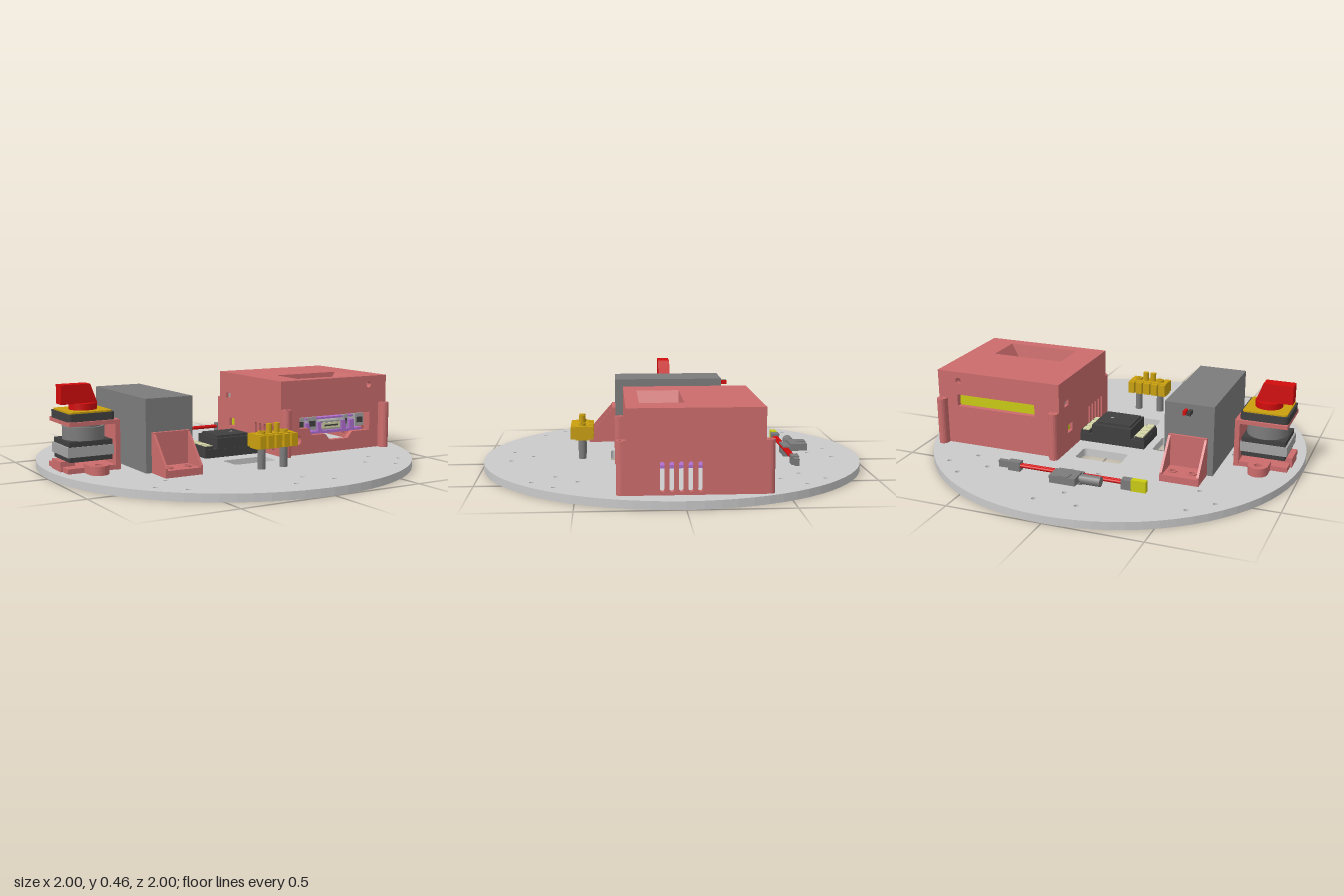
import * as THREE from 'three';

const M = {};
for (const [name, color] of Object.entries({
  plateGray: 0xcacaca, bracketPink: 0xcc6c6c, midGray: 0x7c7c7c, charcoal: 0x404040, gold: 0xcaa00e,
  signalRed: 0xd20c0c, beige: 0xd6d6a8, boardPurple: 0xb070d0, plugYellow: 0xcaca14, silver: 0xa4a4a4,
})) {
  M[name] = new THREE.MeshStandardMaterial({ color });
  M[name].name = name;
}

export function createModel() {
  const root = new THREE.Group();
  root.name = 'equipmentPlate';
  let parent = root;
  const group = (name) => { parent = new THREE.Group(); parent.name = name; root.add(parent); return parent; };
  const add = (name, mat, geo) => {
    const m = new THREE.Mesh(geo, mat);
    m.name = name;
    parent.add(m);
    return m;
  };
  const box = (name, mat, x0, x1, y0, y1, z0, z1) => add(name, mat,
    new THREE.BoxGeometry(x1 - x0, y1 - y0, z1 - z0).translate((x0 + x1) / 2, (y0 + y1) / 2, (z0 + z1) / 2));
  const cyl = (name, mat, x, y0, y1, z, r, n = 24, r2 = r) => add(name, mat,
    new THREE.CylinderGeometry(r2, r, y1 - y0, n).translate(x, (y0 + y1) / 2, z));
  const cylX = (name, mat, x0, x1, y, z, r, n = 12) => add(name, mat,
    new THREE.CylinderGeometry(r, r, x1 - x0, n).rotateZ(Math.PI / 2).translate((x0 + x1) / 2, y, z));
  const poly = (pts) => new THREE.Shape(pts.map((p) => new THREE.Vector2(...p)));
  const rect = (a, b, c, d) => poly([[a, c], [b, c], [b, d], [a, d]]);
  const disc = (x, y, r) => new THREE.Shape().absarc(x, y, r, 0, Math.PI * 2);
  const roundRect = (a, b, c, d, r) => new THREE.Shape()
    .absarc(b - r, d - r, r, 0, Math.PI / 2).absarc(a + r, d - r, r, Math.PI / 2, Math.PI)
    .absarc(a + r, c + r, r, Math.PI, Math.PI * 1.5).absarc(b - r, c + r, r, Math.PI * 1.5, Math.PI * 2);
  const ext = (shape, holes, depth, seg = 8) => {
    shape.holes.push(...holes);
    return new THREE.ExtrudeGeometry(shape, { depth, bevelEnabled: false, curveSegments: seg });
  };
  // slabs: flat uses (x, z), facing uses (x, y), side uses (z, y)
  const flat = (name, mat, shape, holes, y0, y1, seg) => add(name, mat, ext(shape, holes, y1 - y0, seg).rotateX(Math.PI / 2).translate(0, y1, 0));
  const facing = (name, mat, shape, holes, z0, z1) => add(name, mat, ext(shape, holes, z1 - z0).translate(0, 0, z0));
  const side = (name, mat, shape, holes, x0, x1) => add(name, mat, ext(shape, holes, x1 - x0).rotateY(-Math.PI / 2).translate(x1, 0, 0));

  // round base plate with slots and screw holes
  group('basePlate');
  const holes = [[-0.64, 0], [-0.07, -0.48], [0.07, -0.48], [0.3, 0.26]];
  for (const s of [-1, 1]) {
    holes.push([0, 0.74 * s], [0.49, 0.6 * s]);
    for (const t of [-1, 1]) holes.push([0.11 * t, 0.85 * s], [0.6 * t, 0.71 * s], [0.71 * t, 0.6 * s], [0.6 * t, 0.49 * s], [-0.48 + 0.05 * t, 0.39 * s]);
  }
  flat('plate', M.plateGray, disc(0, 0, 1), [
    roundRect(-0.125, 0.125, -0.33, -0.2, 0.02), roundRect(-0.125, 0.125, 0.2, 0.33, 0.02),
    roundRect(-0.315, -0.215, -0.09, 0.09, 0.015), ...holes.map(([x, z]) => disc(x, z, 0.012)),
  ], 0, 0.04, 40);

  // hollow electronics housing
  group('electronicsHousing');
  const P = M.bracketPink;
  const vents = (z0) => [0, 1, 2, 3, 4].map((i) => roundRect(z0 + i * 0.0435, z0 + 0.022 + i * 0.0435, 0.055, 0.195, 0.01));
  facing('frontWall', P, rect(0.19, 0.89, 0.04, 0.44), [
    poly([[0.31, 0.24], [0.31, 0.18], [0.37, 0.18], [0.39, 0.14], [0.48, 0.14], [0.51, 0.105], [0.63, 0.105],
      [0.66, 0.14], [0.78, 0.14], [0.78, 0.24]]),
    disc(0.295, 0.12, 0.028), disc(0.77, 0.392, 0.016)], 0.235, 0.265);
  facing('backWall', P, rect(0.19, 0.89, 0.04, 0.44), [rect(0.33, 0.78, 0.25, 0.315), disc(0.77, 0.392, 0.016)], -0.37, -0.34);
  side('rightWall', P, rect(-0.34, 0.235, 0.04, 0.44),
    [rect(-0.3, -0.25, 0.295, 0.325), rect(-0.265, -0.205, 0.14, 0.185), ...vents(0.01)], 0.19, 0.22);
  side('leftWall', P, rect(-0.34, 0.235, 0.04, 0.44), vents(-0.083), 0.86, 0.89);
  flat('lid', P, rect(0.22, 0.86, -0.34, 0.235), [rect(0.34, 0.74, -0.01, 0.2)], 0.425, 0.44);
  for (const x of [0.215, 0.865]) for (const s of [-1, 1]) {
    const zw = s > 0 ? 0.265 : -0.37, zc = zw + 0.02 * s;
    box('postWeb', P, x - 0.025, x + 0.025, 0.04, 0.29, Math.min(zw, zc), Math.max(zw, zc));
    flat('screwPost', P, disc(x, zc, 0.025), [disc(x, zc, 0.012)], 0.04, 0.291);
  }
  box('plugBacking', P, 0.25, 0.335, 0.08, 0.16, 0.2, 0.235);

  // sloping fan recess in the lid
  const top = [[0.34, -0.01], [0.74, -0.01], [0.74, 0.2], [0.34, 0.2]];
  const low = [[0.39, -0.008], [0.69, -0.008], [0.69, 0.19], [0.39, 0.19]];
  const v = [];
  for (let i = 0; i < 4; i++) {
    const j = (i + 1) % 4;
    const T = (k) => [top[k][0], 0.44, top[k][1]], B = (k) => [low[k][0], 0.355, low[k][1]];
    v.push(...T(i), ...B(j), ...T(j), ...T(i), ...B(i), ...B(j));
  }
  const funnel = new THREE.BufferGeometry();
  funnel.setAttribute('position', new THREE.Float32BufferAttribute(v, 3));
  funnel.computeVertexNormals();
  add('fanRecess', P, funnel);

  // cooling fan
  group('coolingFan');
  flat('fanFrame', M.charcoal, rect(0.38, 0.7, -0.015, 0.2), [disc(0.54, 0.092, 0.095)], 0.305, 0.355, 20);
  box('fanBase', M.charcoal, 0.38, 0.7, 0.29, 0.305, -0.015, 0.2);
  cyl('fanHub', M.charcoal, 0.54, 0.305, 0.352, 0.092, 0.05, 28);
  for (let i = 0; i < 11; i++) {
    add('fanBlade', M.charcoal, new THREE.BoxGeometry(0.05, 0.035, 0.006).rotateX(0.7).translate(0.07, 0, 0)
      .rotateY(i * Math.PI * 2 / 11).translate(0.54, 0.33, 0.092));
  }

  // circuit boards and connectors inside the housing
  group('circuitBoards');
  box('mainBoard', M.boardPurple, 0.34, 0.76, 0.135, 0.15, -0.25, 0.22);
  box('upperBoard', M.boardPurple, 0.38, 0.7, 0.215, 0.225, -0.2, 0.222);
  box('boardEdge', M.plugYellow, 0.31, 0.8, 0.24, 0.32, -0.338, -0.33);
  box('displayPort', M.silver, 0.47, 0.61, 0.155, 0.205, 0.12, 0.228);
  box('portFace', M.beige, 0.48, 0.6, 0.165, 0.195, 0.228, 0.234);
  box('portSlot', M.charcoal, 0.495, 0.585, 0.176, 0.184, 0.234, 0.238);
  for (const [a, b] of [[0.32, 0.37], [0.39, 0.45], [0.63, 0.66], [0.71, 0.77]]) {
    box('sidePort', M.silver, a, b, 0.16, 0.23, 0.12, 0.225);
    box('sidePortSlot', M.charcoal, a + 0.01, b - 0.01, 0.18, 0.21, 0.225, 0.23);
  }
  for (const x of [0.375, 0.455, 0.615, 0.67]) box('boardSpacer', M.boardPurple, x, x + 0.03, 0.15, 0.2, 0.15, 0.23);
  box('upperSidePort', M.silver, 0.205, 0.25, 0.298, 0.322, -0.297, -0.253);
  box('lowerSidePort', M.plugYellow, 0.205, 0.25, 0.143, 0.182, -0.262, -0.208);

  // battery with mirrored end brackets
  group('battery');
  box('batteryBlock', M.midGray, -0.61, -0.355, 0.04, 0.405, -0.305, 0.3);
  box('redLead', M.signalRed, -0.475, -0.46, 0.36, 0.38, -0.35, -0.305);
  box('blackLead', M.charcoal, -0.5, -0.482, 0.36, 0.38, -0.35, -0.305);
  for (const s of [-1, 1]) {
    group('batteryBracket');
    const zs = (a, b) => (s > 0 ? [a, b] : [-b, -a]);
    flat('bracketFoot', P, rect(-0.58, -0.38, ...zs(0.3, 0.45)), [-0.53, -0.43].map((x) => disc(x, 0.39 * s, 0.014)), 0.04, 0.075);
    box('bracketWall', P, -0.58, -0.38, 0.04, 0.24, ...zs(0.3, 0.32));
    for (const x of [-0.58, -0.392]) side('bracketGusset', P, poly([[0.3 * s, 0.04], [0.45 * s, 0.04], [0.45 * s, 0.085], [0.315 * s, 0.24], [0.3 * s, 0.24]]), [], x, x + 0.012);
    for (const x of [-0.53, -0.43]) {
      const hex = poly([0, 1, 2, 3, 4, 5].map((i) => [x + 0.025 * Math.cos(i * Math.PI / 3), 0.39 * s + 0.025 * Math.sin(i * Math.PI / 3)]));
      flat('nutSeat', P, hex, [disc(x, 0.39 * s, 0.015)], 0.075, 0.081);
    }
  }

  // main rotary switch on its bracket
  group('rotarySwitch');
  const sx = -0.81;
  flat('switchFoot', P, rect(-0.945, -0.67, -0.13, 0.13), [], 0.04, 0.065);
  for (const s of [-1, 1]) {
    const tab = new THREE.Shape().moveTo(sx - 0.05, 0.12 * s).lineTo(sx - 0.05, 0.19 * s)
      .absarc(sx, 0.19 * s, 0.05, Math.PI, 0, s > 0).lineTo(sx + 0.05, 0.12 * s);
    flat('mountingTab', P, tab, [disc(sx, 0.19 * s, 0.02)], 0.04, 0.085);
  }
  box('footLip', P, -0.955, -0.88, 0.04, 0.09, -0.06, 0.06);
  box('switchUpright', P, -0.695, -0.67, 0.04, 0.29, -0.135, 0.135);
  box('switchShelf', P, -0.935, -0.67, 0.27, 0.29, -0.135, 0.135);
  box('lowerSeal', M.charcoal, -0.925, -0.7, 0.09, 0.115, -0.105, 0.105);
  box('contactBlock', M.silver, -0.935, -0.695, 0.115, 0.165, -0.11, 0.11);
  box('upperSeal', M.charcoal, -0.925, -0.7, 0.165, 0.19, -0.105, 0.105);
  cyl('switchBody', M.midGray, sx, 0.19, 0.255, 0, 0.105, 28);
  cyl('switchNeck', M.midGray, sx, 0.255, 0.27, 0, 0.09, 28);
  flat('switchFrame', M.charcoal, roundRect(-0.935, -0.69, -0.122, 0.122, 0.02), [], 0.29, 0.328);
  flat('facePlate', M.gold, roundRect(-0.925, -0.7, -0.112, 0.112, 0.015), [], 0.328, 0.336);
  cyl('knobBase', M.signalRed, sx, 0.336, 0.368, 0, 0.07, 28);
  facing('knobLever', M.signalRed, poly([[-0.935, 0.366], [-0.745, 0.366], [-0.782, 0.462], [-0.935, 0.462]]), [], -0.034, 0.034);

  // relay module with terminal rows
  group('relayModule');
  box('relayBase', M.charcoal, -0.175, 0.19, 0.04, 0.085, -0.105, 0.108);
  box('relayBody', M.charcoal, -0.1, 0.12, 0.085, 0.14, -0.105, 0.105);
  box('relayCap', M.charcoal, -0.09, 0.1, 0.14, 0.152, -0.08, 0.085);
  for (const x of [-0.172, 0.137]) {
    box('terminalHousing', M.charcoal, x, x + 0.05, 0.085, 0.1, -0.1, 0.1);
    for (let i = 0; i < 4; i++) box('terminal', M.beige, x + 0.006, x + 0.042, 0.1, 0.106, -0.093 + i * 0.049, -0.055 + i * 0.049);
  }
  for (const x of [-0.122, 0.122]) for (const z of [-0.08, 0.005]) box('terminalStrip', M.beige, x - 0.008, x + 0.008, 0.085, 0.1, z, z + 0.075);
  box('statusMark', M.silver, 0.035, 0.05, 0.152, 0.155, -0.004, 0.004);

  // raised terminal block on two pillars
  group('terminalBlock');
  flat('blockCore', M.gold, rect(-0.11, 0.11, 0.445, 0.515), [-0.065, 0.065].map((x) => disc(x, 0.48, 0.011)), 0.145, 0.218);
  for (let i = 0; i < 5; i++) box('blockTooth', M.gold, -0.11 + i * 0.0465, -0.076 + i * 0.0465, 0.15, 0.215, 0.42, 0.54);
  for (const x of [-0.022, 0.022]) cyl('screwTower', M.gold, x, 0.21, 0.265, 0.48, 0.016, 16);
  for (const x of [-0.065, 0.065]) {
    flat('pillar', M.midGray, disc(x, 0.48, 0.02), [disc(x, 0.48, 0.01)], 0.04, 0.145);
    flat('pillarCollar', M.gold, disc(x, 0.48, 0.02), [disc(x, 0.48, 0.011)], 0.21, 0.23);
  }

  // inline fuse cable with plugs and holder
  group('fuseCable');
  box('yellowPlug', M.plugYellow, -0.37, -0.295, 0.045, 0.103, -0.622, -0.592);
  box('plugBoot', M.midGray, -0.295, -0.245, 0.05, 0.1, -0.628, -0.586);
  for (const z of [-0.612, -0.598]) cylX('redWire', M.signalRed, -0.25, 0.31, 0.08, z, 0.009, 10);
  box('farPlugBoot', M.midGray, 0.295, 0.36, 0.052, 0.1, -0.625, -0.587);
  box('farPlug', M.midGray, 0.36, 0.415, 0.06, 0.095, -0.617, -0.593);
  box('holderBase', M.midGray, -0.045, 0.09, 0.04, 0.095, -0.635, -0.592);
  box('holderArm', M.midGray, -0.045, 0.09, 0.07, 0.108, -0.72, -0.63);
  box('holderLatch', M.midGray, -0.01, 0.045, 0.106, 0.113, -0.72, -0.675);
  cylX('fuseCap', M.midGray, -0.155, -0.055, 0.085, -0.655, 0.025, 16);
  cylX('fuseCapNeck', M.midGray, -0.06, -0.04, 0.085, -0.655, 0.018, 16);

  return root;
}
